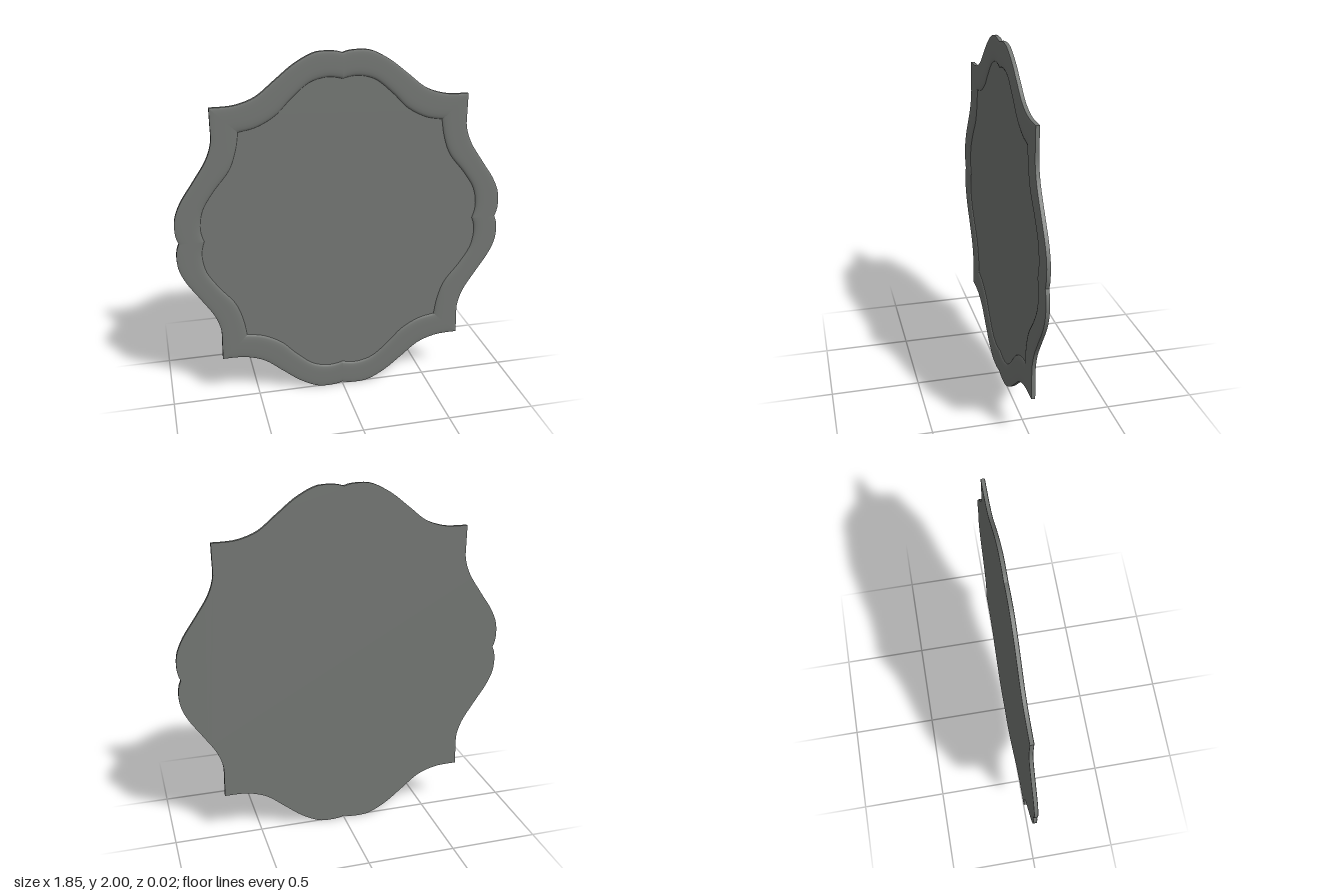
import * as THREE from 'three';

const BACK = -0.012, PANEL = 0.002, EDGE = 0.008, CROWN = 0.012;
const ALONG = 28, ACROSS = 10;

// Upper-right quarter: matching outer and inner edge curves [x, y], y about the centre
const QUARTER = [
  { // top centre to corner
    outer: [[0, 0.987], [0.03, 0.996], [0.085, 1], [0.15, 0.994], [0.255, 0.942], [0.36, 0.86], [0.466, 0.777], [0.57, 0.741], [0.64, 0.735], [0.705, 0.735]],
    inner: [[0, 0.85], [0.03, 0.858], [0.085, 0.863], [0.175, 0.84], [0.28, 0.755], [0.36, 0.675], [0.466, 0.617], [0.56, 0.597]],
  },
  { // corner to side centre
    outer: [[0.705, 0.735], [0.704, 0.64], [0.705, 0.55], [0.734, 0.46], [0.81, 0.34], [0.88, 0.235], [0.915, 0.155], [0.923, 0.09], [0.918, 0.035], [0.905, 0]],
    inner: [[0.56, 0.597], [0.577, 0.5], [0.615, 0.395], [0.705, 0.28], [0.767, 0.18], [0.785, 0.09], [0.781, 0.04], [0.768, 0]],
  },
];

function sample(points, sx, sy) {
  const curve = new THREE.CatmullRomCurve3(points.map(([x, y]) => new THREE.Vector3(x * sx, y * sy, 0)));
  const list = curve.getSpacedPoints(ALONG);
  return sx * sy < 0 ? list.reverse() : list;   // always clockwise
}

// Surface through rows of points
function loft(rows) {
  const n = rows[0].length, index = [];
  for (let i = 0; i < rows.length - 1; i++) {
    for (let j = 0; j < n - 1; j++) {
      const a = i * n + j, b = a + 1, c = a + n, d = c + 1;
      index.push(a, b, c, b, d, c);
    }
  }
  const geo = new THREE.BufferGeometry().setFromPoints(rows.flat());
  geo.setIndex(index);
  geo.computeVertexNormals();
  return geo;
}

function plate(points) {
  return new THREE.ShapeGeometry(new THREE.Shape(points.map(p => new THREE.Vector2(p.x, p.y))));
}

export function createModel() {
  const group = new THREE.Group();
  const grey = new THREE.MeshStandardMaterial({ color: 0x747774 });
  grey.name = 'slate grey';
  const add = (name, geo, z = 0) => {
    const mesh = new THREE.Mesh(geo, grey);
    mesh.name = name;
    mesh.position.set(0, 1, z);
    group.add(mesh);
    return mesh;
  };

  const outline = [], opening = [];
  // Eight mitred rim lengths, clockwise from the top
  for (const [sx, sy, order] of [[1, 1, [0, 1]], [1, -1, [1, 0]], [-1, -1, [0, 1]], [-1, 1, [1, 0]]]) {
    for (const k of order) {
      const outer = sample(QUARTER[k].outer, sx, sy);
      const inner = sample(QUARTER[k].inner, sx, sy);
      outline.push(...outer.slice(0, -1));
      opening.push(...inner.slice(0, -1));

      // Rounded moulding, from the outer edge down to the panel
      add('rimMoulding', loft(outer.map((o, i) => Array.from({ length: ACROSS + 1 }, (_, j) => {
        const s = -Math.cos(Math.PI * j / ACROSS);
        const base = s < 0 ? EDGE : PANEL;
        const p = o.clone().lerp(inner[i], (s + 1) / 2);
        p.z = base + (CROWN - base) * Math.sqrt(Math.max(0, 1 - s ** 4));
        return p;
      }))));

      // Outer edge wall
      add('rimEdge', loft(outer.map(o => [BACK, EDGE].map(z => new THREE.Vector3(o.x, o.y, z)))));
    }
  }

  // Flat centre and back
  add('centrePanel', plate(opening), PANEL);
  add('backPanel', plate(outline), BACK).rotation.y = Math.PI;
  return group;
}
